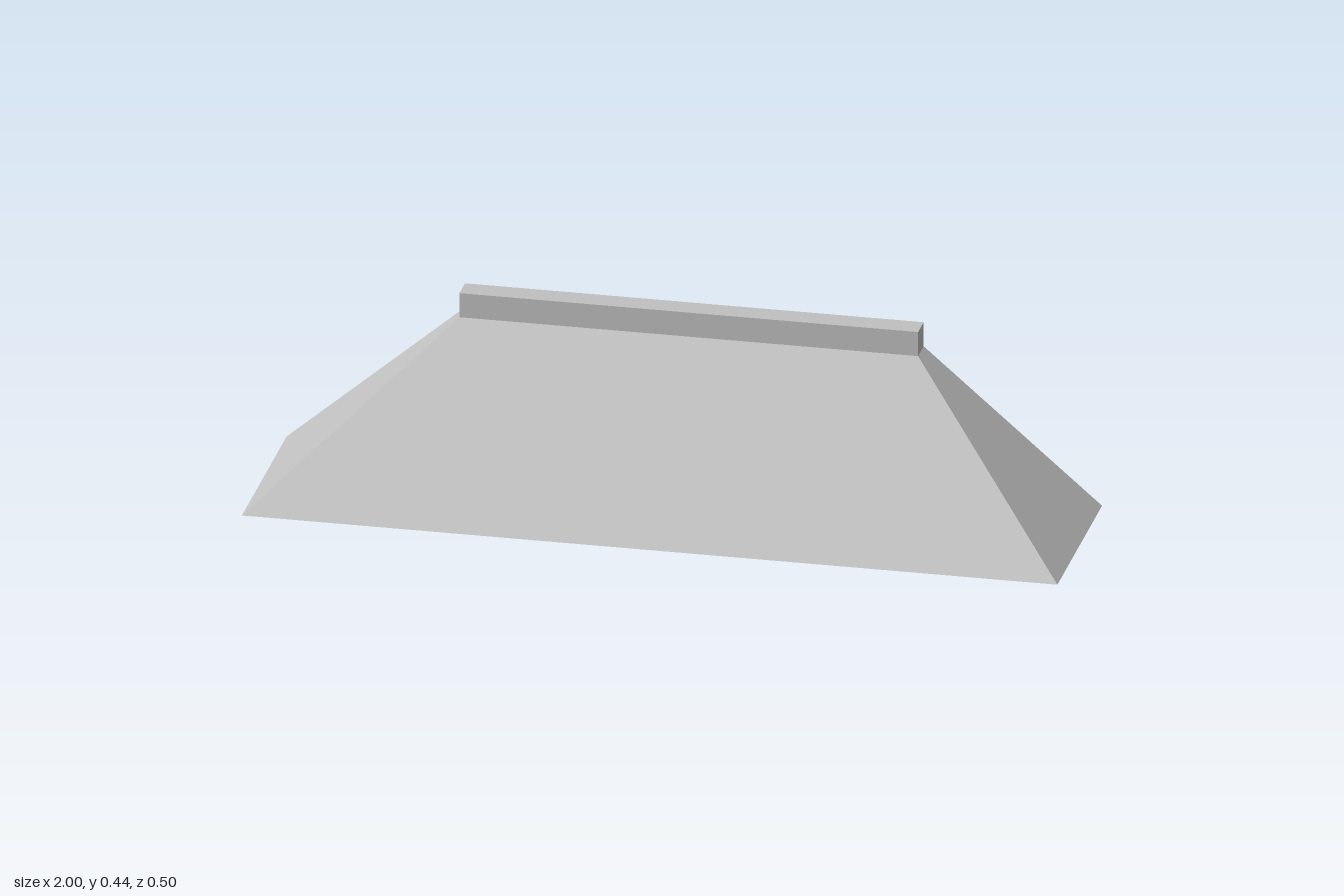
import * as THREE from 'three';

export function createModel() {
  const group = new THREE.Group();
  group.name = 'hood';
  const metal = new THREE.MeshStandardMaterial({ color: 0xc0c0c0, side: THREE.DoubleSide });
  metal.name = 'light grey metal';

  // flat four-cornered sheet, corners counter-clockwise seen from outside
  const sheet = (name, a, b, c, d) => {
    const geometry = new THREE.BufferGeometry();
    geometry.setAttribute('position', new THREE.Float32BufferAttribute([a, b, c, a, c, d].flat(), 3));
    geometry.computeVertexNormals();
    const mesh = new THREE.Mesh(geometry, metal);
    mesh.name = name;
    group.add(mesh);
  };

  const W = 1, w = 0.5625, p = 0.5; // half widths: base, top rail, back flange
  const F = 0.25, B = -0.25, R = -0.1875; // depths: front, back, rail front
  const h = 0.375, H = 0.4375; // heights: rail bottom, rail top

  // sloping front, open underneath and behind
  sheet('frontSlope', [-W, 0, F], [W, 0, F], [w, h, R], [-w, h, R]);

  // hollow rail, open below, with a shorter flange at the back
  sheet('railFront', [-w, h, R], [w, h, R], [w, H, R], [-w, H, R]);
  sheet('railTop', [-w, H, R], [w, H, R], [w, H, B], [-w, H, B]);
  sheet('railBackFlange', [p, h, B], [-p, h, B], [-p, H, B], [p, H, B]);

  // mirrored sloping sides and rail ends
  for (const [side, s] of [['left', 1], ['right', -1]]) {
    const add = (name, corners) => sheet(side + name, ...(s > 0 ? corners : corners.reverse()));
    add('SideSlope', [[s * W, 0, F], [s * W, 0, B], [s * w, h, B], [s * w, h, R]]);
    add('RailEnd', [[s * w, h, R], [s * w, h, B], [s * w, H, B], [s * w, H, R]]);
  }
  return group;
}
